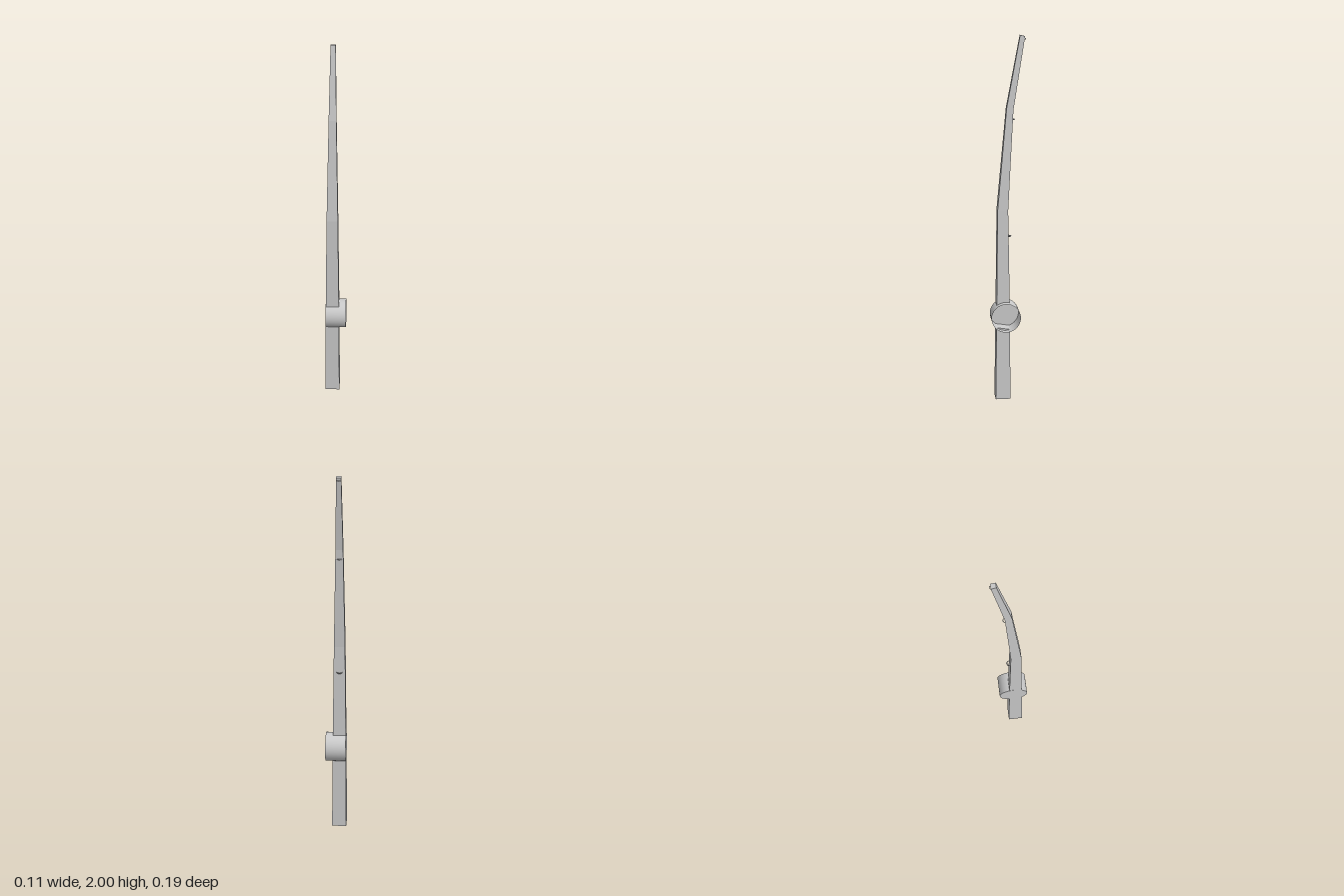
import * as THREE from 'three';

const ROD_X = -0.018;
const grey = new THREE.MeshStandardMaterial({ color: 0xcccccc, flatShading: true });
const thin = new THREE.MeshStandardMaterial({ color: 0xcccccc, side: THREE.DoubleSide });

// Square bar lofted through sections [yFront, yBack, halfWidth, zFront, zBack]
function loft(sections) {
  const pos = [], index = [];
  for (const [yf, yb, w, zf, zb] of sections) {
    pos.push(-w, yf, zf, w, yf, zf, w, yb, zb, -w, yb, zb);
  }
  const quad = (a, b, c, d) => index.push(a, b, c, a, c, d);
  for (let s = 0; s < sections.length - 1; s++) {
    for (let i = 0; i < 4; i++) {
      const j = (i + 1) % 4, k = s * 4;
      quad(k + i, k + j, k + 4 + j, k + 4 + i);
    }
  }
  const t = (sections.length - 1) * 4;
  quad(3, 2, 1, 0);
  quad(t, t + 1, t + 2, t + 3);
  let g = new THREE.BufferGeometry();
  g.setAttribute('position', new THREE.Float32BufferAttribute(pos, 3));
  g.setIndex(index);
  g = g.toNonIndexed();
  g.computeVertexNormals();
  return g;
}

export function createModel() {
  const model = new THREE.Group();
  const add = (name, geometry, material, x, y, z) => {
    const mesh = new THREE.Mesh(geometry, material);
    mesh.name = name;
    mesh.position.set(x, y, z);
    model.add(mesh);
    return mesh;
  };

  // Handle below the reel, ending at the drum wall
  add('handle', loft([
    [0, 0, 0.04, 0.07, -0.012],
    [0.417, 0.405, 0.037, 0.065, -0.009],
  ]), grey, ROD_X, 0, 0);

  // Tapering rod that bends backwards
  add('rod', loft([
    [0.544, 0.555, 0.036, 0.063, -0.008],
    [1.07, 1.07, 0.03, 0.057, 0],
    [1.62, 1.61, 0.02, 0.007, -0.029],
    [2, 1.994, 0.013, -0.065, -0.091],
  ]), grey, ROD_X, 0, 0);

  // Hollow reel drum, closed on one side
  const wall = new THREE.CylinderGeometry(0.08, 0.08, 0.112, 32, 1, true).rotateZ(Math.PI / 2);
  add('reelDrum', wall, thin, 0.001, 0.48, 0.015);
  const cap = new THREE.CircleGeometry(0.08, 32).rotateY(-Math.PI / 2);
  add('reelCap', cap, thin, -0.055, 0.48, 0.015);

  // Line guides on the back of the rod: [y, z, halfWidth, depth]
  for (const [y, z, w, d] of [
    [0.925, 0, 0.018, 0.022],
    [1.56, -0.024, 0.014, 0.015],
    [1.98, -0.088, 0.01, 0.01],
  ]) {
    const arch = new THREE.TorusGeometry(1, 0.15, 4, 4, Math.PI).rotateX(-Math.PI / 2);
    add('lineGuide', arch, grey, ROD_X, y, z).scale.set(w * 0.87, 0.02, d * 0.87);
  }
  return model;
}
